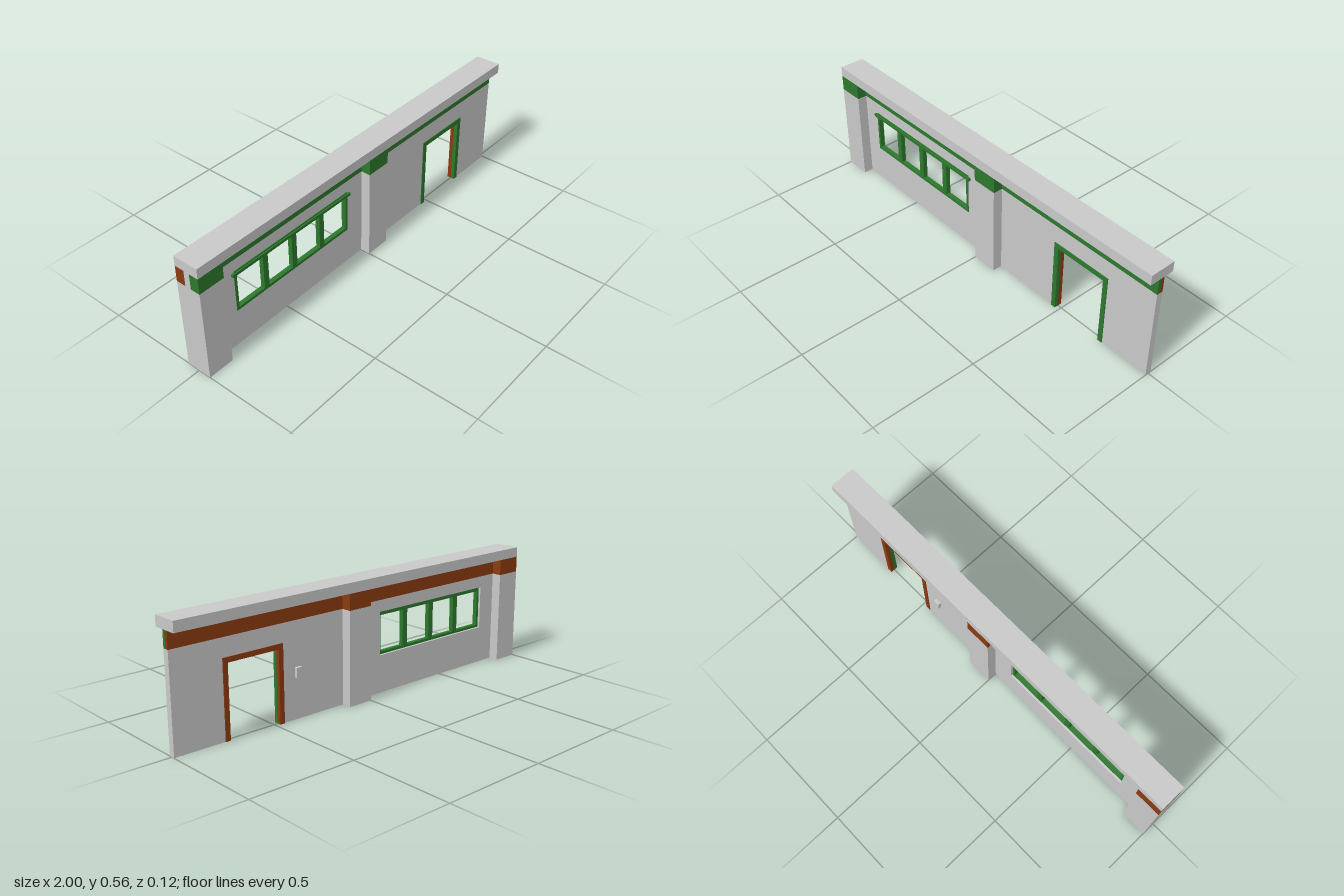
import * as THREE from 'three';

const material = (name, color) => {
  const m = new THREE.MeshStandardMaterial({ color });
  m.name = name;
  return m;
};

export function createModel() {
  const model = new THREE.Group();
  model.name = 'wallSection';
  const grey = material('plasterGrey', 0xc8c8c8);
  const green = material('trimGreen', 0x2c782c);
  const brown = material('trimBrown', 0x8a3a10);

  const W = 0.015;              // half thickness of the wall
  const P = 0.062;              // half depth of pillars and cornice
  const BAND = 0.44, TOP = 0.515, HEIGHT = 0.563;

  // Box given by its lower and upper limits on each axis
  const box = (name, mat, x0, x1, y0, y1, z0, z1, parent = model) => {
    const mesh = new THREE.Mesh(new THREE.BoxGeometry(x1 - x0, y1 - y0, z1 - z0), mat);
    mesh.position.set((x0 + x1) / 2, (y0 + y1) / 2, (z0 + z1) / 2);
    mesh.name = name;
    parent.add(mesh);
    return mesh;
  };
  const group = (name) => {
    const g = new THREE.Group();
    g.name = name;
    model.add(g);
    return g;
  };
  const polygon = (Type, points) => new Type(points.map(([x, y]) => new THREE.Vector2(x, y)));

  // Wall with a doorway notch and a window opening
  const door = { x0: 0.457, x1: 0.758, top: 0.355 };
  const win = { x0: -0.785, x1: -0.1, y0: 0.18, y1: 0.385 };
  const outline = polygon(THREE.Shape, [
    [-1, 0], [door.x0, 0], [door.x0, door.top], [door.x1, door.top],
    [door.x1, 0], [1, 0], [1, BAND], [-1, BAND],
  ]);
  outline.holes.push(polygon(THREE.Path, [
    [win.x0, win.y0], [win.x0, win.y1], [win.x1, win.y1], [win.x1, win.y0],
  ]));
  const wallGeometry = new THREE.ExtrudeGeometry(outline, { depth: 2 * W, bevelEnabled: false });
  wallGeometry.translate(0, 0, -W);
  const wall = new THREE.Mesh(wallGeometry, grey);
  wall.name = 'wall';
  model.add(wall);

  // Painted band along the wall top: green in front, brown behind
  box('wallBandFront', green, -0.875, 1, BAND, TOP, 0, W);
  box('wallBandBack', brown, -0.875, 1, BAND, TOP, -W, 0);
  box('wallTopEnd', grey, -1, -0.875, BAND, TOP, -W, W);

  // Pillars stand out from both faces of the wall
  for (const [name, x] of [['endPillar', -1], ['middlePillar', 0]]) {
    const pillar = group(name);
    for (const [side, z0, z1, paint] of [['Front', W, P, green], ['Back', -P, -W, brown]]) {
      box('pillar' + side, grey, x, x + 0.125, 0, BAND, z0, z1, pillar);
      box('pillarBand' + side, paint, x, x + 0.125, BAND, TOP, z0, z1, pillar);
    }
  }

  // Cornice
  box('cornice', grey, -1, 1, TOP, HEIGHT, -P, P);

  // Door frame, split into a green front half and a brown back half
  const doorFrame = group('doorFrame');
  const t = 0.023, D = 0.019;
  for (const [side, z0, z1, paint] of [['Front', 0, D, green], ['Back', -D, 0, brown]]) {
    box('doorJambRight' + side, paint, door.x0, door.x0 + t, 0, door.top - t, z0, z1, doorFrame);
    box('doorJambLeft' + side, paint, door.x1 - t, door.x1, 0, door.top - t, z0, z1, doorFrame);
    box('doorHead' + side, paint, door.x0, door.x1, door.top - t, door.top, z0, z1, doorFrame);
  }

  // Window frame set towards the front of the opening
  const windowFrame = group('windowFrame');
  const f = 0.013, zb = -0.004, zf = 0.018;
  box('windowSill', green, win.x0, win.x1, win.y0, win.y0 + f, zb, zf, windowFrame);
  box('windowHead', green, win.x0, win.x1, win.y1 - 0.02, win.y1, zb, zf, windowFrame);
  for (const x of [win.x0, win.x1 - f]) {
    box('windowSide', green, x, x + f, win.y0 + f, win.y1 - 0.02, zb, zf, windowFrame);
  }
  for (const x of [-0.612, -0.442, -0.27]) {
    box('mullion', green, x - 0.014, x + 0.014, win.y0 + f, win.y1 - 0.02, zb, zf, windowFrame);
  }
  box('windowRail', green, -0.798, -0.086, 0.365, 0.379, W, 0.025, windowFrame);

  // Small switch box on the back beside the door
  box('switchBox', grey, 0.365, 0.395, 0.19, 0.235, -0.03, -W);

  return model;
}
